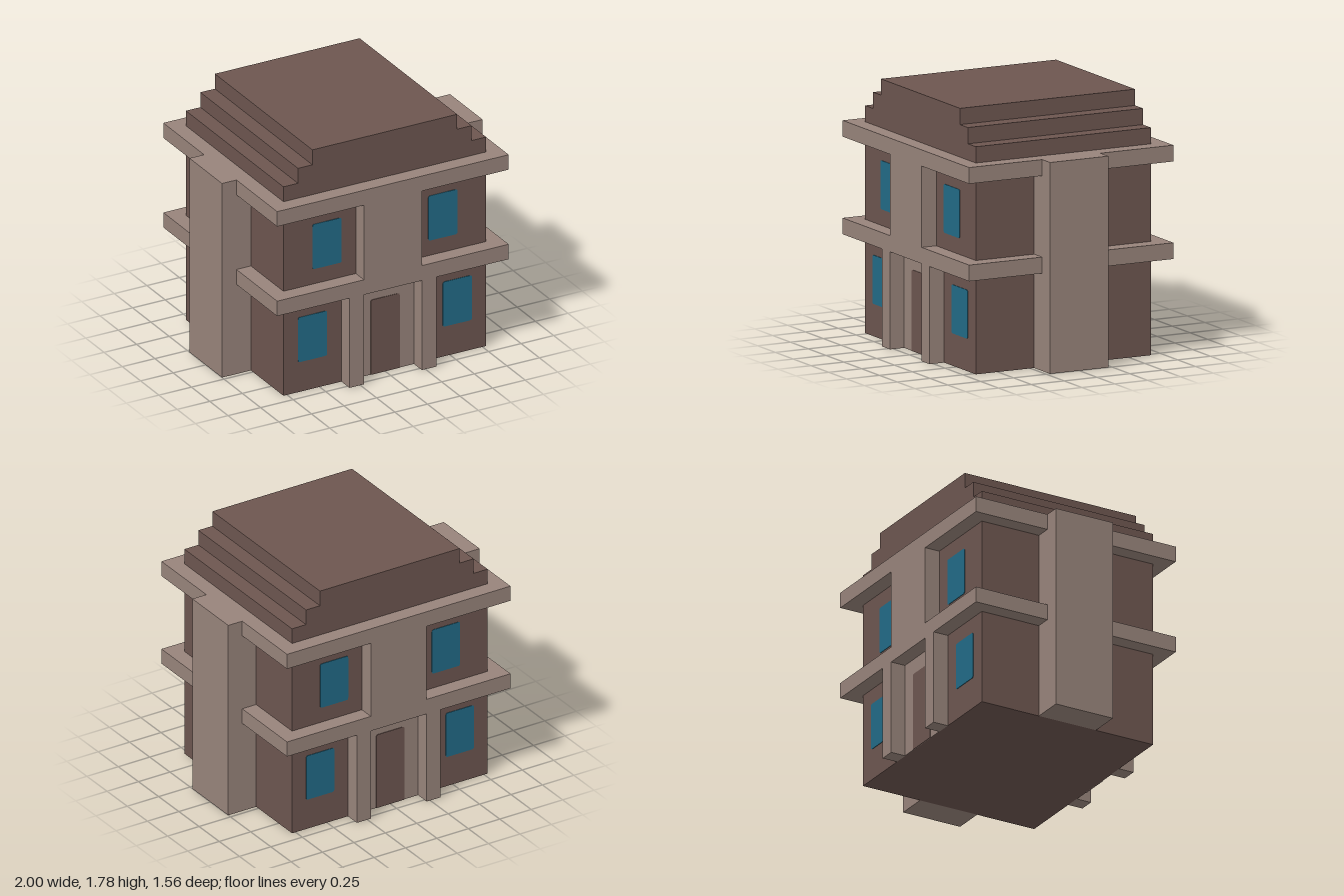
import * as THREE from 'three';

const U = 1 / 9; // building module

export function createModel() {
  const house = new THREE.Group();
  house.name = 'house';
  const mat = (name, color) => {
    const m = new THREE.MeshStandardMaterial({ color });
    m.name = name;
    return m;
  };
  const wall = mat('dark brown wall', 0x6d5650);
  const trim = mat('light stone trim', 0x98847b);
  const glass = mat('blue glass', 0x226b87);

  // box from its min and max corners, in modules
  const box = (parent, name, material, [x0, y0, z0], [x1, y1, z1]) => {
    const g = new THREE.BoxGeometry((x1 - x0) * U, (y1 - y0) * U, (z1 - z0) * U);
    const m = new THREE.Mesh(g, material);
    m.position.set((x0 + x1) * U / 2, (y0 + y1) * U / 2, (z0 + z1) * U / 2);
    m.name = name;
    parent.add(m);
  };

  // thin plate with rounded corners; rb is the bottom corner radius
  const plate = (parent, name, material, x, y, w, h, z, rb) => {
    const r = 0.015, hw = w * U / 2, H = h * U;
    const s = new THREE.Shape();
    s.moveTo(-hw + rb, 0);
    s.lineTo(hw - rb, 0);
    if (rb) s.quadraticCurveTo(hw, 0, hw, rb);
    s.lineTo(hw, H - r);
    s.quadraticCurveTo(hw, H, hw - r, H);
    s.lineTo(-hw + r, H);
    s.quadraticCurveTo(-hw, H, -hw, H - r);
    s.lineTo(-hw, rb);
    if (rb) s.quadraticCurveTo(-hw, 0, -hw + rb, 0);
    const g = new THREE.ExtrudeGeometry(s, { depth: 0.004, bevelEnabled: false, curveSegments: 4 });
    const m = new THREE.Mesh(g, material);
    m.position.set(x * U, y * U, z);
    m.name = name;
    parent.add(m);
  };

  // main body and stepped roof
  box(house, 'body', wall, [-7, 0, -6], [7, 12.5, 6]);
  [7, 6, 5].forEach((hx, i) =>
    box(house, 'roofStep' + (i + 1), wall, [-hx, 13 + i, -6], [hx, 14 + i, 6]));

  // ledges around each storey
  box(house, 'lowerLedge', trim, [-8, 6, -7], [8, 7, 7]);
  box(house, 'upperLedge', trim, [-8, 12, -7], [8, 13, 7]);

  // side pillars
  box(house, 'leftPillar', trim, [7, 0, -2], [9, 13, 2]);
  box(house, 'rightPillar', trim, [-9, 0, -2], [-7, 13, 2]);

  // matching front and back facades
  for (const side of ['front', 'back']) {
    const f = new THREE.Group();
    f.name = side + 'Facade';
    if (side === 'back') f.rotation.y = Math.PI;
    house.add(f);
    const zWall = 6 * U;
    box(f, 'centralPanel', trim, [-2, 7, 6], [2, 12, 7]);
    box(f, 'doorSurround', trim, [-2, 0, 6], [2, 6, 6.03]);
    plate(f, 'door', wall, 0, 0, 2, 5, zWall + 0.0035, 0);
    for (const s of [-1, 1]) {
      box(f, 'doorPost', trim, [s * 2.5 - 0.5, 0, 6], [s * 2.5 + 0.5, 6, 7]);
      plate(f, 'lowerWindow', glass, s * 5, 2, 2, 3, zWall, 0.015);
      plate(f, 'upperWindow', glass, s * 4, 8, 2, 3, zWall, 0.015);
    }
  }
  return house;
}
